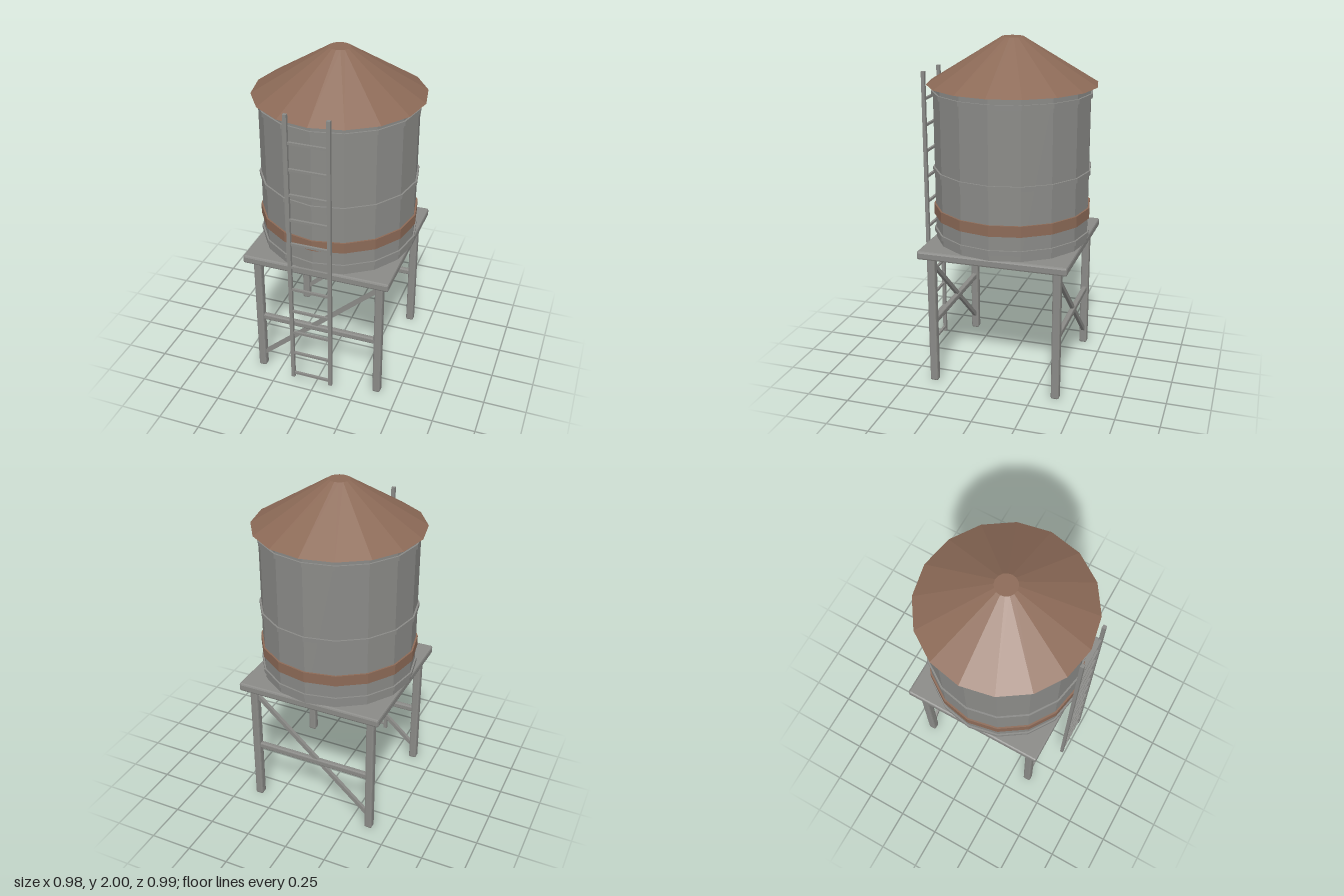
import * as THREE from 'three';
import { RoundedBoxGeometry } from 'three/addons/geometries/RoundedBoxGeometry.js';

const SIDES = 16;
const CENTRE_Z = -0.01;

export function createModel() {
  const model = new THREE.Group();
  model.name = 'waterTower';

  const metal = new THREE.MeshStandardMaterial({ color: 0x8a8a87, flatShading: true });
  metal.name = 'greyMetal';
  const rust = new THREE.MeshStandardMaterial({ color: 0x8c6a57, flatShading: true });
  rust.name = 'rustBrown';

  function add(parent, name, geometry, material, x, y, z) {
    const mesh = new THREE.Mesh(geometry, material);
    mesh.name = name;
    mesh.position.set(x, y, z);
    parent.add(mesh);
    return mesh;
  }

  // Faceted drum between two heights
  function drum(name, rTop, rBottom, y0, y1, material) {
    const geometry = new THREE.CylinderGeometry(rTop, rBottom, y1 - y0, SIDES);
    return add(model, name, geometry, material, 0, (y0 + y1) / 2, CENTRE_Z);
  }

  // Box with softened edges
  const beam = (w, h, d, r) => new RoundedBoxGeometry(w, h, d, 1, r);

  // Tank, roof and hoops
  drum('tank', 0.45, 0.45, 0.835, 1.745, metal);
  drum('roof', 0.062, 0.488, 1.74, 2.0, rust);
  for (const y of [0.885, 1.252, 1.692]) drum('hoop', 0.46, 0.46, y - 0.013, y + 0.013, metal);
  drum('rustBand', 0.46, 0.46, 0.98, 1.043, rust);

  // Platform
  add(model, 'platform', beam(0.874, 0.05, 0.874, 0.011), metal, 0, 0.81, CENTRE_Z);

  // Legs, with a crossbar and a diagonal on the front and back
  const low = new THREE.Vector2(-0.36, 0.09);
  const high = new THREE.Vector2(0.36, 0.74);
  const span = high.clone().sub(low);
  for (const side of [1, -1]) {
    const z = CENTRE_Z + side * 0.37;
    for (const x of [-0.37, 0.37]) {
      add(model, 'leg', beam(0.048, 0.8, 0.048, 0.01), metal, x, 0.4, z);
    }
    add(model, 'crossbar', beam(0.72, 0.036, 0.03, 0.007), metal, 0, 0.376, z);
    const diagonal = add(model, 'diagonalBrace', new THREE.BoxGeometry(span.length(), 0.024, 0.02),
      metal, 0, (low.y + high.y) / 2, z);
    diagonal.rotation.z = span.angle();
  }

  // Ladder
  const ladder = new THREE.Group();
  ladder.name = 'ladder';
  ladder.position.z = 0.484;
  model.add(ladder);
  for (const x of [-0.118, 0.118]) {
    add(ladder, 'rail', new THREE.BoxGeometry(0.021, 1.73, 0.02), metal, x, 0.935, 0);
  }
  for (let i = 0; i < 11; i++) {
    add(ladder, 'rung', new THREE.BoxGeometry(0.225, 0.014, 0.014), metal, 0, 0.1 + i * 0.154, 0);
  }

  return model;
}
